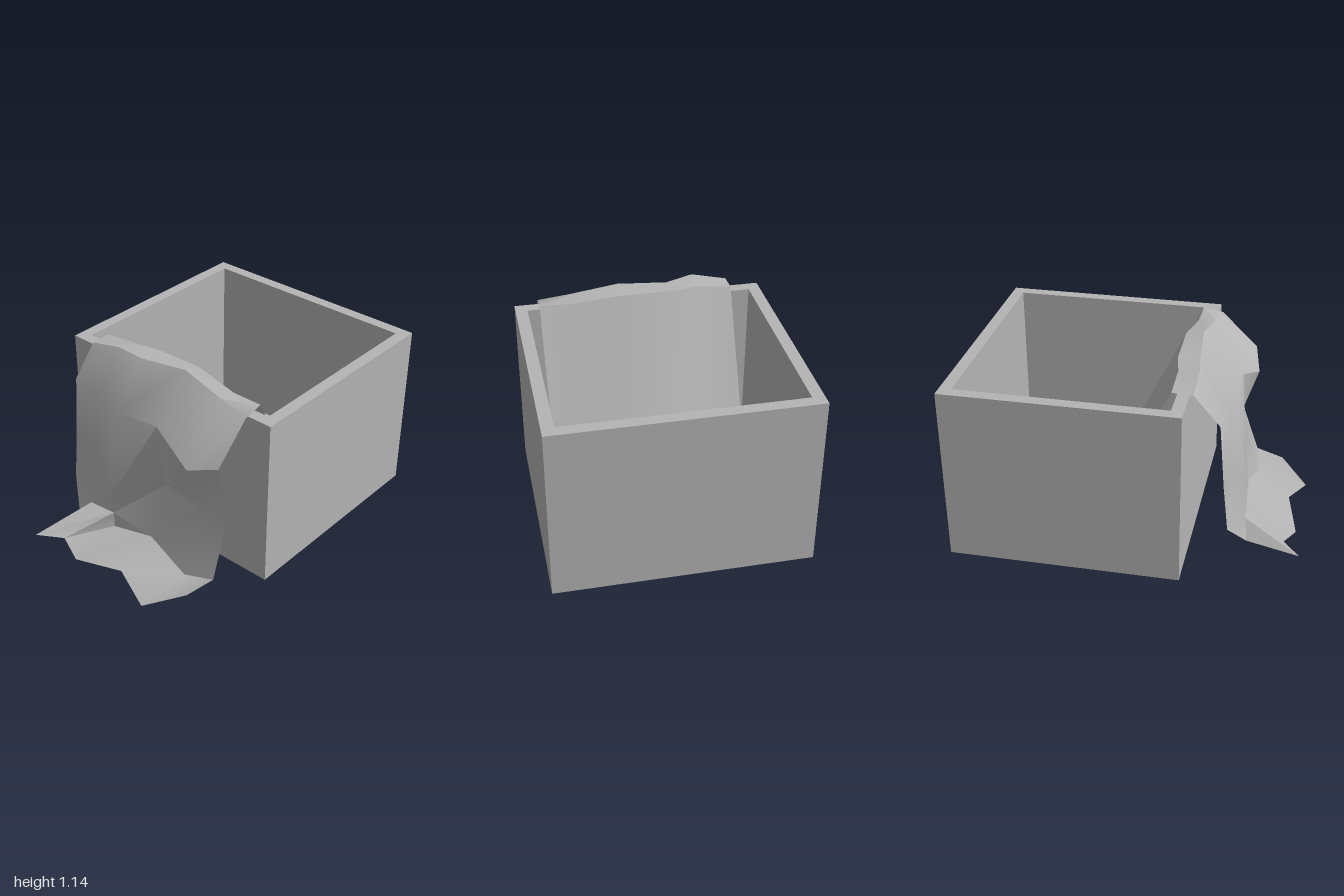
import * as THREE from 'three';
import { toCreasedNormals } from 'three/addons/utils/BufferGeometryUtils.js';

export function createModel() {
  const model = new THREE.Group();
  const grey = new THREE.MeshStandardMaterial({ color: 0xb4b4b4, side: THREE.DoubleSide });
  grey.name = 'plain grey';

  const add = (name, geometry) => {
    const mesh = new THREE.Mesh(geometry, grey);
    mesh.name = name;
    model.add(mesh);
    return mesh;
  };

  // Open box: a square ring of walls, extruded upwards, and a floor
  const rect = (Type, x0, x1, y0, y1) => new Type([
    new THREE.Vector2(x0, y0), new THREE.Vector2(x1, y0),
    new THREE.Vector2(x1, y1), new THREE.Vector2(x0, y1),
  ]);
  const ring = rect(THREE.Shape, -0.745, 0.74, -0.35, 1);
  ring.holes.push(rect(THREE.Path, -0.675, 0.67, -0.28, 0.93));
  const walls = new THREE.ExtrudeGeometry(ring, { depth: 1.05, bevelEnabled: false });
  walls.rotateX(-Math.PI / 2);
  add('boxWalls', walls);
  add('boxFloor', new THREE.BoxGeometry(1.345, 0.07, 1.21)).position.set(-0.0025, 0.035, -0.325);

  // Cloth cross-sections, from inside the box over the rim to the ground.
  // Each row holds [y, z] for the six columns.
  const columns = [-0.555, -0.34, -0.18, 0.125, 0.41, 0.6];
  const rows = [
    [[0.28, -0.43], [0.28, -0.44], [0.28, -0.475], [0.28, -0.475], [0.28, -0.45], [0.28, -0.445]],
    [[0.31, -0.13], [0.31, -0.13], [0.31, -0.16], [0.31, -0.16], [0.31, -0.145], [0.31, -0.13]],
    [[1.09, 0.26], [1.115, 0.26], [1.115, 0.23], [1.12, 0.225], [1.08, 0.255], [1.085, 0.26]],
    [[1.085, 0.38], [1.135, 0.38], [1.11, 0.355], [1.145, 0.33], [1.09, 0.36], [1.06, 0.38]],
    [[0.91, 0.53], [0.91, 0.55], [0.86, 0.57], [0.89, 0.57], [0.77, 0.64], [0.845, 0.6]],
    [[0.53, 0.56], [0.5, 0.59], [0.32, 0.66], [0.46, 0.5], [0.47, 0.54], [0.43, 0.53]],
    [[0.25, 0.59], [0.195, 0.67], [0.18, 0.64], [0.165, 0.64], [0.06, 0.67], [0.11, 0.64]],
  ];
  const grid = rows.map((row) => row.map(([y, z], i) => [columns[i], y, z]));
  const corners = [];
  const tri = (...points) => corners.push(...points.flat());
  const quad = (a, b, c, d) => { tri(a, c, b); tri(b, c, d); };
  for (let r = 0; r < grid.length - 1; r++) {
    for (let i = 0; i < 5; i++) {
      quad(grid[r][i], grid[r][i + 1], grid[r + 1][i], grid[r + 1][i + 1]);
    }
  }

  // Skirt lying outwards on the ground
  const hem = grid[6];
  const underFold = [-0.18, 0.08, 0.64];
  const inner = [underFold, hem[3], hem[4], hem[5]];
  const outer = [[-0.18, 0.025, 0.96], [0.125, 0.065, 0.89], [0.37, 0.01, 0.98], [0.555, 0.084, 0.81]];
  for (let i = 0; i < 3; i++) quad(inner[i], inner[i + 1], outer[i], outer[i + 1]);
  tri(hem[2], underFold, hem[3]);

  // Pointed corner fold
  const tip = [-0.48, 0.07, 1];
  const tuck = [-0.43, 0.1, 0.69];
  const fold = [-0.34, 0.06, 0.9];
  tri(hem[0], tuck, hem[1]);
  tri(tuck, tip, hem[1]);
  tri(hem[1], tip, hem[2]);
  tri(hem[2], tip, fold);
  tri(hem[2], fold, underFold);
  tri(underFold, fold, outer[0]);

  const cloth = new THREE.BufferGeometry();
  cloth.setAttribute('position', new THREE.Float32BufferAttribute(corners, 3));
  add('drapedCloth', toCreasedNormals(cloth, 0.7));

  return model;
}
